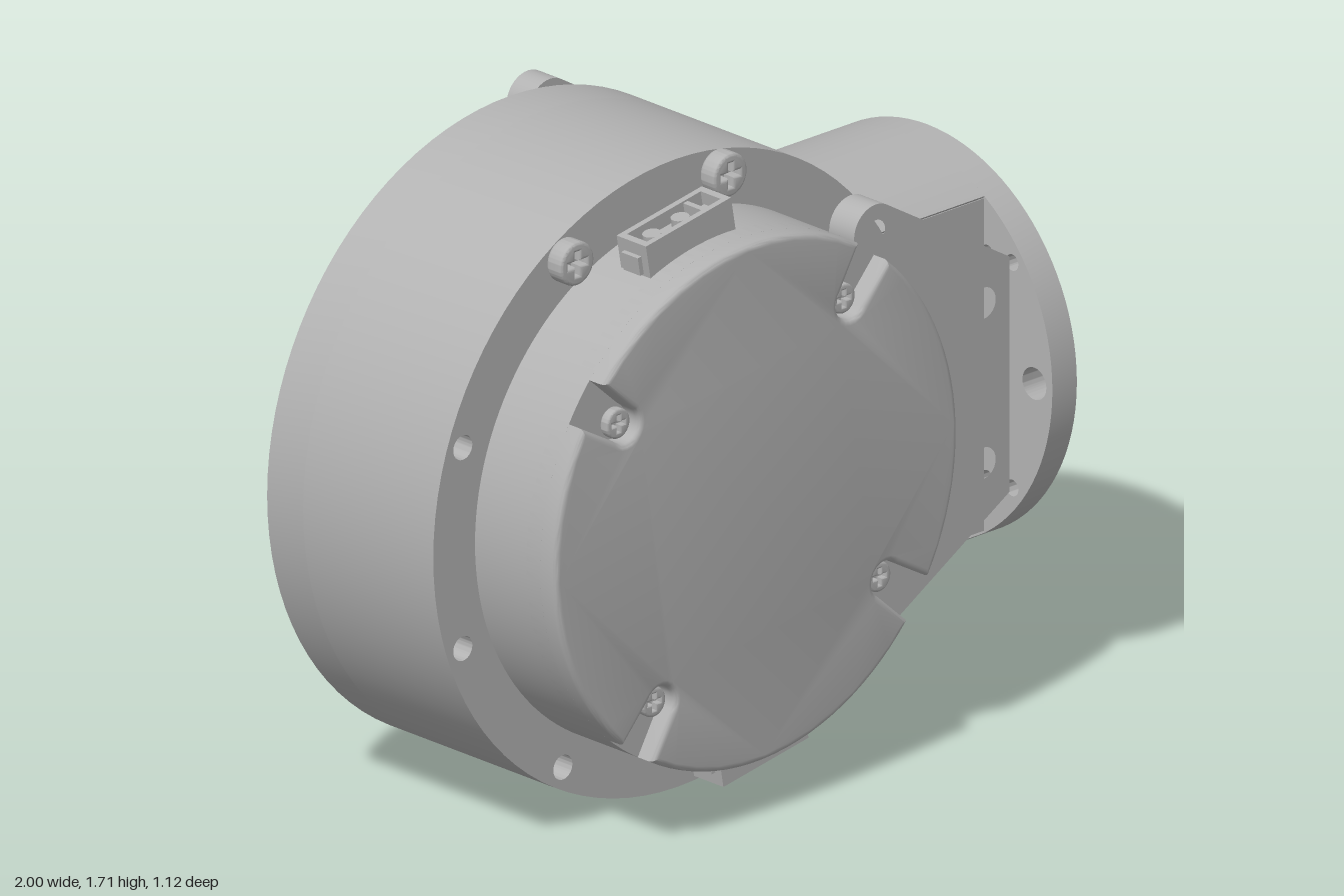
import * as THREE from 'three';
import { toCreasedNormals } from 'three/addons/utils/BufferGeometryUtils.js';

const D = Math.PI / 180;
const AX = -0.155, AY = 0.853;   // drum axis
const TUBE_Z = -0.025;           // tube and flange axis
const BOLT_R = 0.79, HOLE = 0.033;

const polar = (r, deg, x = 0, y = 0) =>
  new THREE.Vector2(x + r * Math.cos(deg * D), y + r * Math.sin(deg * D));

// points along an arc, in degrees
function arc(r, from, to, n, x = 0, y = 0) {
  return Array.from({ length: n + 1 }, (_, i) => polar(r, from + (to - from) * i / n, x, y));
}

const disc = (r) => new THREE.Shape().absarc(0, 0, r, 0, Math.PI * 2, false);

function drill(shape, r, points) {
  for (const p of points) {
    shape.holes.push(new THREE.Path().absarc(p.x, p.y, r, 0, Math.PI * 2, true));
  }
  return shape;
}

function extrude(shape, z0, z1, bevel = 0) {
  const g = new THREE.ExtrudeGeometry(shape, {
    depth: z1 - z0 - 2 * bevel, curveSegments: shape.holes.length > 4 ? 48 : 64,
    bevelEnabled: bevel > 0, bevelSize: bevel, bevelThickness: bevel,
    bevelOffset: -bevel, bevelSegments: 4,
  });
  g.translate(0, 0, z0 + bevel);
  return toCreasedNormals(g, 0.55);
}

// fork plate: two arms around a round opening, narrowing to the flange
function forkPlate(tipAngle, holeAngles) {
  const c = polar(BOLT_R, tipAngle), capR = 0.075, end = 1.07;
  const edge = polar(capR, 59, c.x, c.y);
  const upper = [
    ...arc(0.715, 0, tipAngle, 32),
    ...arc(capR, tipAngle + 180, 59, 20, c.x, c.y).slice(1),
    new THREE.Vector2(end, edge.y - (end - edge.x) * 0.6),
  ];
  const lower = upper.slice(1).reverse().map((p) => new THREE.Vector2(p.x, -p.y));
  const shape = new THREE.Shape([...upper, ...lower]);
  drill(shape, HOLE, holeAngles.map((a) => polar(BOLT_R, a)));
  return drill(shape, 0.042, [new THREE.Vector2(0.98, 0.215), new THREE.Vector2(0.98, -0.215)]);
}

export function createModel() {
  const model = new THREE.Group();
  model.name = 'rotaryActuator';
  const metal = new THREE.MeshStandardMaterial({ color: 0xb2b2b2 });
  metal.name = 'grey metal';

  const body = new THREE.Group();
  body.name = 'drumAssembly';
  body.position.set(AX, AY, 0);
  model.add(body);
  const add = (name, geometry, parent = body) => {
    const m = new THREE.Mesh(geometry, metal);
    m.name = name;
    parent.add(m);
    return m;
  };

  // drum in two layers, the back one with the hub well and a blind hole
  const bolts = Array.from({ length: 9 }, (_, i) => polar(BOLT_R, i * 40));
  add('drum', extrude(drill(disc(0.845), HOLE, bolts), -0.2, 0.27));
  const backLayer = drill(disc(0.845), HOLE, [...bolts, polar(BOLT_R, 180)]);
  drill(backLayer, 0.4, [new THREE.Vector2()]);
  add('drumBack', extrude(backLayer, -0.33, -0.2));

  // front cover with four screw notches in its rim
  add('coverBase', extrude(disc(0.7), 0.26, 0.505));
  const notches = [54, 144, 234, 324];
  const rim = [];
  notches.forEach((a) => {
    const s = polar(0.56, a);
    rim.push(polar(0.7, a - 5), ...arc(0.048, a - 80, a - 280, 12, s.x, s.y),
      ...arc(0.7, a + 5, a + 85, 24).slice(0, -1));
  });
  add('coverFace', extrude(new THREE.Shape(rim), 0.44, 0.56, 0.016));

  // screws with a cross recess
  function screw(name, r, height, p, z) {
    const g = new THREE.Group();
    g.name = name;
    g.position.set(p.x, p.y, z);
    const head = disc(r), w = r * 0.12, l = r * 0.55;
    head.holes.push(new THREE.Path([
      [w, w], [w, l], [-w, l], [-w, w], [-l, w], [-l, -w],
      [-w, -w], [-w, -l], [w, -l], [w, -w], [l, -w], [l, w],
    ].map(([x, y]) => new THREE.Vector2(x, y))));
    add('head', extrude(head, 0, height, r * 0.15), g);
    add('recessFloor', extrude(disc(r * 0.7), 0, height * 0.4), g);
    body.add(g);
  }
  notches.forEach((a) => screw('coverScrew', 0.04, 0.028, polar(0.56, a), 0.505));
  [80, 120, 280].forEach((a) => screw('drumScrew', 0.058, 0.055, polar(BOLT_R, a), 0.27));

  // cable sockets on the cover rim
  for (const a of [100, 280]) {
    const socket = new THREE.Group();
    socket.name = 'cableSocket';
    socket.rotation.z = (a - 90) * D;
    const rect = (w, h) => [[-w, -h], [w, -h], [w, h], [-w, h]].map(([x, y]) => new THREE.Vector2(x, y));
    const frame = new THREE.Shape(rect(0.15, 0.053));
    frame.holes.push(new THREE.Path(rect(0.13, 0.036)));
    add('housing', extrude(frame, 0.65, 0.775).rotateX(-Math.PI / 2), socket).position.z = 0.4;
    const box = (name, w, h, d, x, y) =>
      add(name, new THREE.BoxGeometry(w, h, d), socket).position.set(x, y, 0.4);
    box('floor', 0.27, 0.07, 0.08, 0, 0.7);
    box('divider', 0.015, 0.12, 0.08, 0.075, 0.71);
    box('ears', 0.325, 0.05, 0.06, 0, 0.715);
    for (const x of [-0.08, 0.02]) {
      add('pin', new THREE.CylinderGeometry(0.024, 0.024, 0.06, 20), socket).position.set(x, 0.735, 0.4);
    }
    body.add(socket);
  }

  // output hub on the back: grooved ring around a drilled face
  const profile = [[0.5, 0.329], [0.478, 0.337], [0.467, 0.355], [0.465, 0.395], [0.455, 0.405],
    [0.42, 0.405], [0.41, 0.395], [0.41, 0.355], [0.38, 0.355], [0.38, 0.385], [0.345, 0.385],
    [0.34, 0.38], [0.34, 0.2]].map(([r, h]) => new THREE.Vector2(r, h));
  add('hubRing', toCreasedNormals(new THREE.LatheGeometry(profile, 72).rotateX(-Math.PI / 2), 0.6));
  const hub = drill(disc(0.325), 0.14, [new THREE.Vector2()]);
  drill(hub, 0.045, [35, 155, 275].map((a) => polar(0.245, a)));
  drill(hub, 0.032, [5, 65, 125, 185, 245, 305].map((a) => polar(0.25, a)));
  add('hubFace', extrude(hub, -0.375, -0.2));

  // fork plates
  add('backFork', extrude(forkPlate(80, [-80, -40, 0, 40, 80]), -0.41, -0.33));
  add('frontFork', extrude(forkPlate(40, [-40, 0, 40]), 0.27, 0.36));

  // flat tube sides, fitted to the drum
  const side = new THREE.Shape([...arc(0.844, -32, 32, 32),
    new THREE.Vector2(1.07, 0.447), new THREE.Vector2(1.07, -0.447)]);
  add('tubeSideFront', extrude(side, 0.22, 0.268));
  add('tubeSideBack', extrude(side, -0.328, -0.28));

  // parts along the x axis
  const outlet = new THREE.Group();
  outlet.name = 'outlet';
  outlet.position.set(0, AY, TUBE_Z);
  outlet.rotation.y = Math.PI / 2;
  model.add(outlet);

  // curved tube walls, top and bottom
  for (const [a, b] of [[56, 123], [237, 304]]) {
    const wall = new THREE.Shape([...arc(0.54, a, b, 32), ...arc(0.47, b, a, 32)]);
    add('tubeWall', extrude(wall, 0.492, 0.916), outlet);
  }

  // drilled flange
  const flange = drill(disc(0.54), 0.14, [new THREE.Vector2()]);
  drill(flange, 0.045, [30, 90, 150, 210, 270, 330].map((a) => polar(0.26, a)));
  drill(flange, 0.043, [polar(0.475, 0), polar(0.475, 180)]);
  for (const x of [-0.395, -0.305, 0.305, 0.385]) {
    drill(flange, 0.022, [new THREE.Vector2(x, 0.303), new THREE.Vector2(x, -0.303)]);
  }
  add('flange', extrude(flange, 0.915, 1), outlet);

  return model;
}
